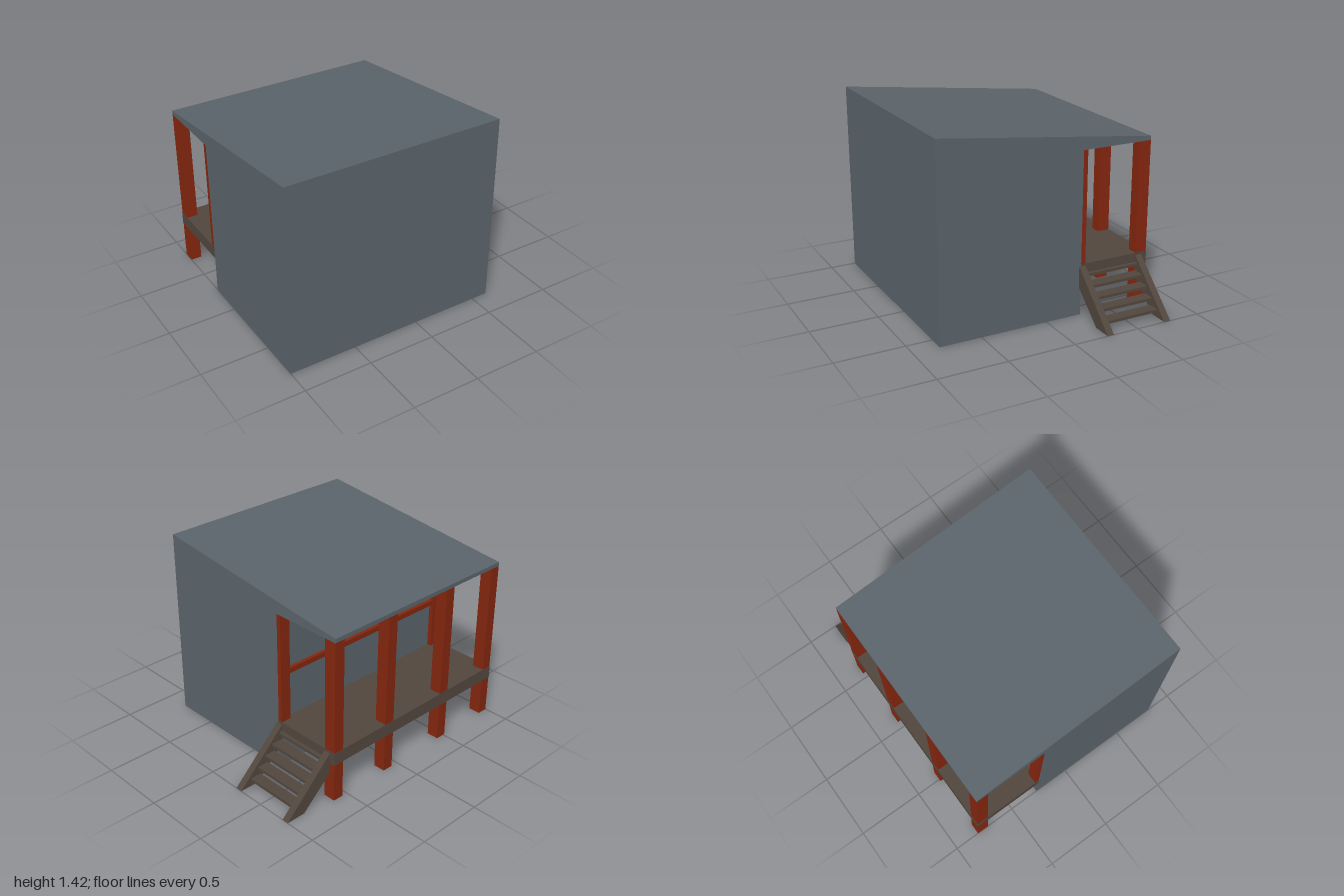
import * as THREE from 'three';

export function createModel() {
  const cabin = new THREE.Group();
  cabin.name = 'cabin';

  const grey = new THREE.MeshStandardMaterial({ color: 0x5a636a, side: THREE.DoubleSide });
  grey.name = 'slate grey';
  const rust = new THREE.MeshStandardMaterial({ color: 0x84260e });
  rust.name = 'rust red timber';
  const brown = new THREE.MeshStandardMaterial({ color: 0x51463d });
  brown.name = 'dark brown wood';

  const L = -1, R = 0.62;

  function add(name, geometry, material, parent = cabin) {
    const mesh = new THREE.Mesh(geometry, material);
    mesh.name = name;
    parent.add(mesh);
    return mesh;
  }

  // box given by its minimum and maximum on each axis
  function box(name, [x0, x1], [y0, y1], [z0, z1], material, parent) {
    const mesh = add(name, new THREE.BoxGeometry(x1 - x0, y1 - y0, z1 - z0), material, parent);
    mesh.position.set((x0 + x1) / 2, (y0 + y1) / 2, (z0 + z1) / 2);
  }

  // shell profile as [z, y]; the floor is left open
  const profile = [[0.81, 0], [0.81, 1.42], [-0.81, 1.23], [-0.81, 1.2], [-0.27, 1.2], [-0.27, 0]];
  const panels = ['frontWall', 'roof', 'roofEdge', 'porchCeiling', 'porchWall'];
  panels.forEach((name, i) => {
    const [za, ya] = profile[i], [zb, yb] = profile[i + 1];
    const g = new THREE.BufferGeometry();
    g.setAttribute('position', new THREE.Float32BufferAttribute(
      [L, ya, za, R, ya, za, R, yb, zb, L, yb, zb], 3));
    g.setIndex([0, 1, 2, 0, 2, 3]);
    g.computeVertexNormals();
    add(name, g, grey);
  });

  // side walls, including the tapering porch roof
  for (const side of [1, -1]) {
    const shape = new THREE.Shape(profile.map(([z, y]) => new THREE.Vector2(-side * z, y)));
    const g = new THREE.ShapeGeometry(shape);
    g.rotateY(side * Math.PI / 2);
    add(side > 0 ? 'leftWall' : 'rightWall', g, grey).position.x = side > 0 ? R : L;
  }

  // porch deck
  box('deck', [L - 0.002, R + 0.002], [0.285, 0.38], [-0.812, -0.27], brown);

  // outer posts and the matching half posts on the wall
  const posts = new THREE.Group();
  posts.name = 'posts';
  cabin.add(posts);
  for (const x of [0.58, 0.095, -0.475, -0.96]) {
    box('porchPost', [x - 0.04, x + 0.04], [0, 1.2], [-0.81, -0.72], rust, posts);
    box('wallPost', [x - 0.04, x + 0.04], [0.38, 1.2], [-0.303, -0.27], rust, posts);
  }
  box('wallRail', [L + 0.02, R - 0.02], [0.73, 0.77], [-0.296, -0.27], rust);

  // stairs: two sloping stringers and five open treads
  const stairs = new THREE.Group();
  stairs.name = 'stairs';
  cabin.add(stairs);
  const stringer = new THREE.Shape([[0.62, 0.21], [0.855, 0], [1, 0], [0.62, 0.365]]
    .map(([x, y]) => new THREE.Vector2(x, y)));
  for (const z of [-0.305, -0.77]) {
    const g = new THREE.ExtrudeGeometry(stringer, { depth: 0.05, bevelEnabled: false });
    add('stringer', g, brown, stairs).position.z = z;
  }
  for (let i = 0; i < 5; i++) {
    const front = 0.65 + i * 0.065, top = 0.312 - i * 0.063;
    box('tread', [Math.max(R, front - 0.085), front], [top - 0.021, top], [-0.72, -0.305], brown, stairs);
  }

  return cabin;
}
